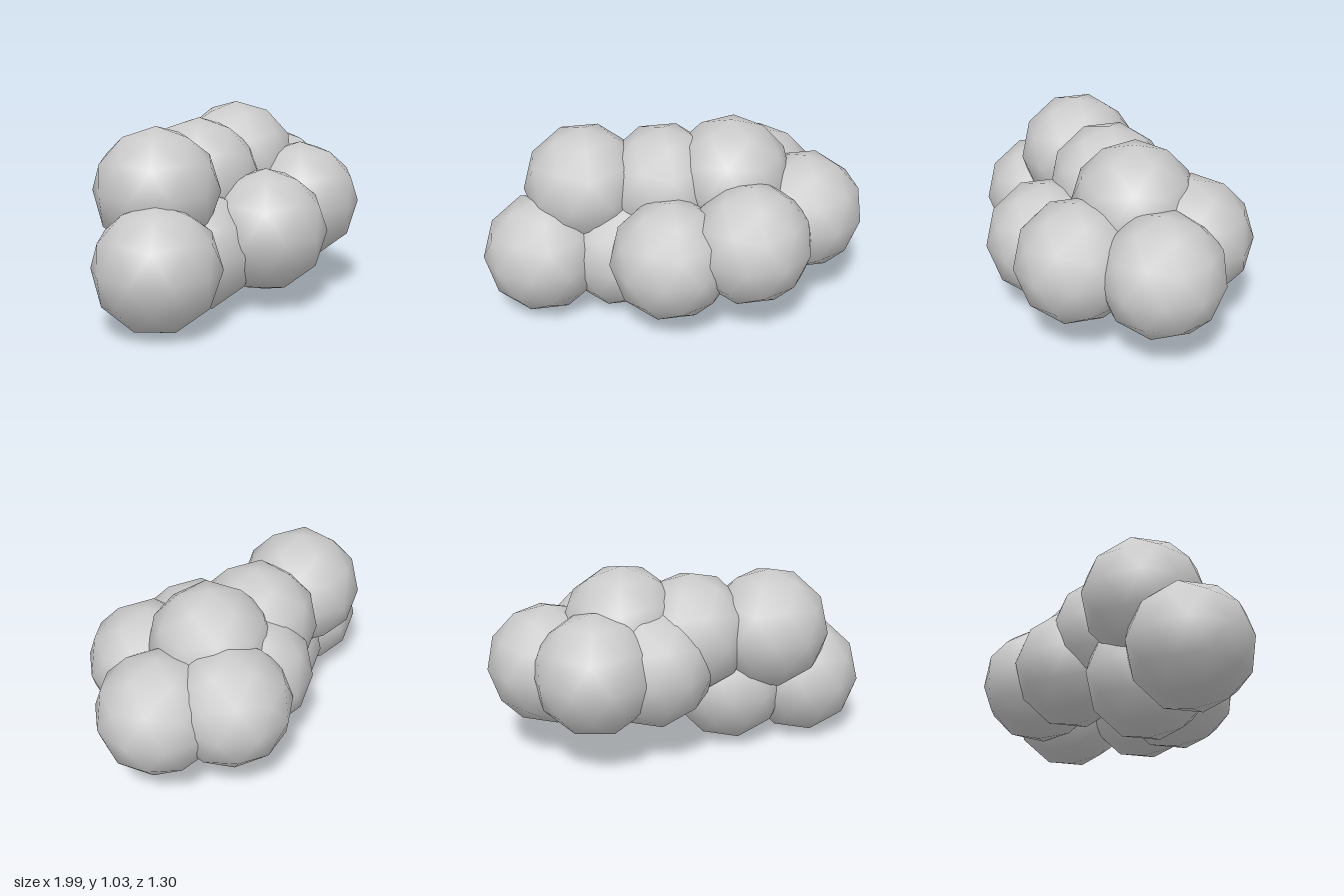
import * as THREE from 'three';

export function createModel() {
  const group = new THREE.Group();
  group.name = 'ballCluster';
  const material = new THREE.MeshStandardMaterial({ color: 0xcccccc });

  // One smooth-shaded, low-poly ball, turned so a vertex points straight up
  const ball = new THREE.IcosahedronGeometry(0.325, 1);
  ball.rotateZ(-Math.atan(2 / (1 + Math.sqrt(5))));

  // name, x, y, z, yaw
  const balls = [
    ['lowerEndBall', -0.685, 0.33, 0.19, 0],
    ['lowerMiddleBall', -0.28, 0.33, 0.09, 0],
    ['upperEndBall', -0.485, 0.665, 0.015, 0],
    ['upperMiddleBall', -0.07, 0.66, -0.05, 0],
    ['topBall', 0.29, 0.71, -0.08, Math.PI / 2],
    ['frontMiddleBall', 0.02, 0.415, 0.325, 0],
    ['frontSideBall', 0.425, 0.5, 0.26, 0],
    ['sideBall', 0.685, 0.51, -0.11, 0],
    ['backBall', 0.42, 0.545, -0.345, Math.PI / 2],
    ['backMiddleBall', 0.13, 0.53, -0.21, 0],
  ];
  for (const [name, x, y, z, yaw] of balls) {
    const mesh = new THREE.Mesh(ball, material);
    mesh.name = name;
    mesh.position.set(x, y, z);
    mesh.rotation.y = yaw;
    group.add(mesh);
  }
  return group;
}
